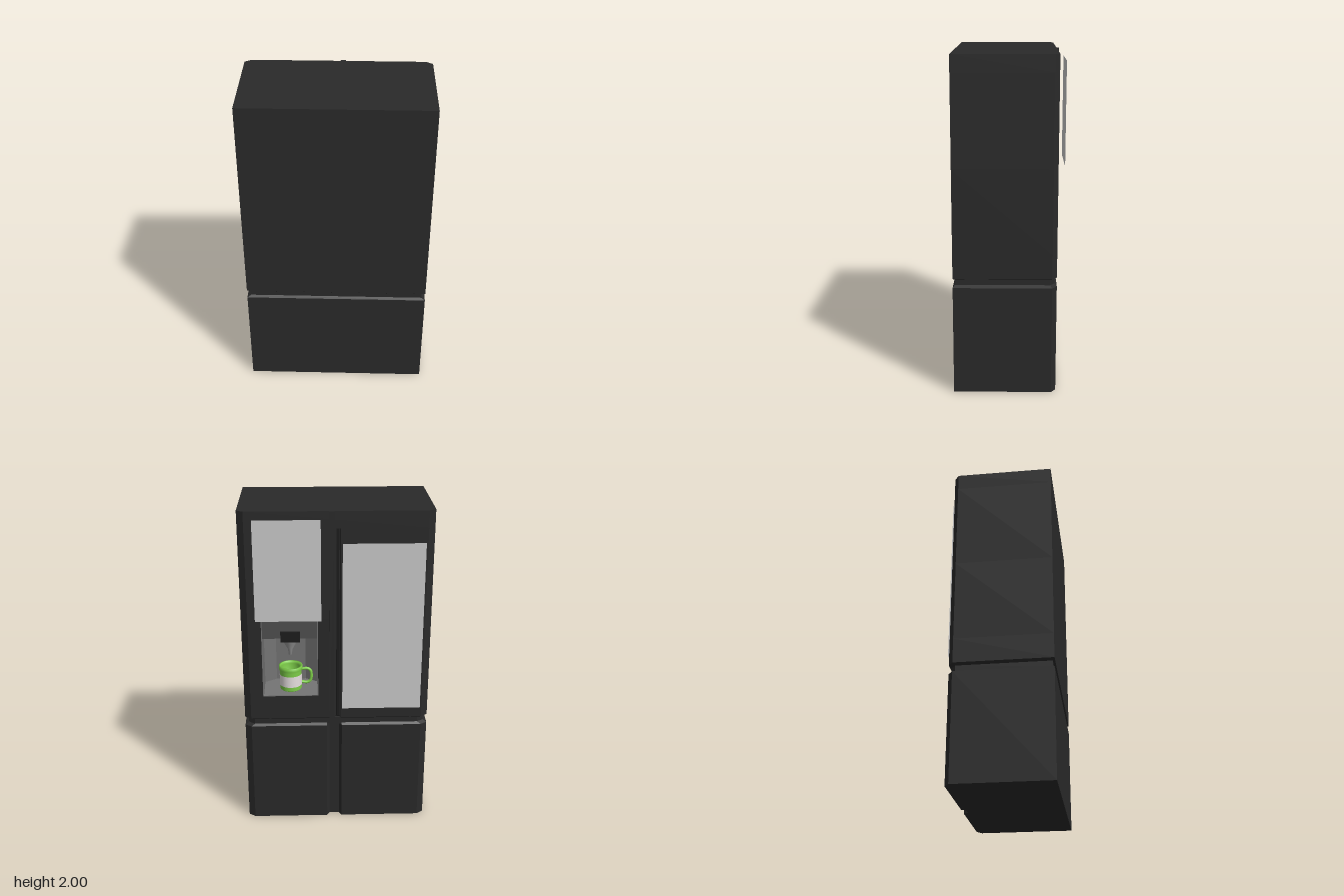
import * as THREE from 'three';

const mat = (color, side = THREE.FrontSide) => new THREE.MeshStandardMaterial({ color, side });
const black = mat(0x2a2a2a), darker = mat(0x1c1c1c), liner = mat(0x747474), control = mat(0x505050);
const metal = mat(0xaaaaaa), green = mat(0x7fd04a), label = mat(0xe6dfdf);
const screen = mat(0xcccccc, THREE.DoubleSide);

// Cabinet outline and front plane (x across, z towards the doors)
const W = 0.56, BACK = -0.29, CORNER = 0.29, FRONT = 0.318;
const NICHE = { l: -0.444, r: -0.108, mid: -0.276, bottom: 0.86, top: 1.36 };

const nicheOutline = (t) => [
  [NICHE.l + t, FRONT], [NICHE.l + t, 0.12 + t / 2], [-0.37 + t / 2, 0.07 + t],
  [-0.182 - t / 2, 0.07 + t], [NICHE.r - t, 0.12 + t / 2], [NICHE.r - t, FRONT],
];
const upperGroove = [[-0.01, FRONT], [-0.005, 0.295], [0.02, 0.295], [0.026, FRONT]];
const lowerGroove = [[-0.058, FRONT], [-0.042, 0.29], [0.018, 0.29], [0.034, FRONT]];

const footprint = (...notches) => [
  [-W, BACK], [-W, CORNER], [-0.521, FRONT], ...notches.flat(),
  [0.521, FRONT], [W, CORNER], [W, BACK],
];

function add(group, name, geometry, material, x = 0, y = 0, z = 0) {
  const mesh = new THREE.Mesh(geometry, material);
  mesh.name = name;
  mesh.position.set(x, y, z);
  group.add(mesh);
  return mesh;
}

// Upright slab over an outline; its lower and upper ends can be drawn in
function slab(points, y0, y1, s0 = 1, s1 = 1) {
  const shape = new THREE.Shape(points.map(([x, z]) => new THREE.Vector2(x, -z)));
  const g = new THREE.ExtrudeGeometry(shape, { depth: y1 - y0, bevelEnabled: false });
  g.rotateX(-Math.PI / 2);
  const p = g.attributes.position;
  for (let i = 0; i < p.count; i++) {
    const top = p.getY(i) > (y1 - y0) / 2;
    const s = top ? s1 : s0;
    p.setXYZ(i, p.getX(i) * s, top ? y1 : y0, p.getZ(i) * s);
  }
  g.computeVertexNormals();
  return g;
}

function box(group, name, material, x0, x1, y0, y1, z0, z1) {
  return add(group, name, new THREE.BoxGeometry(x1 - x0, y1 - y0, z1 - z0), material,
    (x0 + x1) / 2, (y0 + y1) / 2, (z0 + z1) / 2);
}

function buildCabinet() {
  const g = new THREE.Group();
  g.name = 'cabinet';
  const inset = 0.96;
  const low = footprint(lowerGroove), high = footprint(upperGroove);
  add(g, 'lowerDrawers', slab(low, 0, 0.655), black);
  add(g, 'lowerBevel', slab(low, 0.655, 0.668, 1, inset), black);
  add(g, 'waistGroove', slab(footprint(), 0.66, 0.705, inset, inset), black);
  add(g, 'upperBevel', slab(high, 0.7, 0.71, inset, 1), black);
  add(g, 'upperDoorsBase', slab(high, 0.71, NICHE.bottom), black);
  add(g, 'upperDoorsNiche', slab(footprint(nicheOutline(0), upperGroove), NICHE.bottom, NICHE.top), black);
  add(g, 'upperDoorsHead', slab(high, NICHE.top, 1.9), black);
  add(g, 'cabinetTop', slab(footprint(), 1.9, 2), black);
  // Strip between the doors and the pull beside it
  box(g, 'doorStrip', black, -0.042, -0.012, 0.7, 2, 0.28, 0.332);
  box(g, 'doorPull', darker, 0, 0.016, 0.72, 1.9, 0.28, 0.312);
  return g;
}

function buildDispenser() {
  const g = new THREE.Group();
  g.name = 'dispenser';
  // Niche walls as a thin shell, then its floor
  const shell = [...nicheOutline(0.001), ...nicheOutline(0.006).reverse()];
  add(g, 'nicheWalls', slab(shell, NICHE.bottom, NICHE.top), liner);
  add(g, 'nicheFloor', slab(nicheOutline(0.004), NICHE.bottom, NICHE.bottom + 0.004), liner);
  box(g, 'controlPanel', control, NICHE.l + 0.002, NICHE.r - 0.002, 1.235, NICHE.top, 0.14, 0.312);
  box(g, 'spoutHousing', darker, -0.33, -0.215, 1.215, 1.28, 0.2, 0.325);
  // Nozzle
  const profile = [[0, 0.155], [0.045, 0.155], [0.045, 0.1], [0.036, 0.09], [0.036, 0.075],
    [0.014, 0.035], [0.01, 0], [0, 0]].reverse().map(([r, y]) => new THREE.Vector2(r, y));
  const nozzle = add(g, 'nozzle', new THREE.LatheGeometry(profile, 24), metal, NICHE.mid, 1.09, 0.21);
  nozzle.material = mat(0x9a9a9a, THREE.DoubleSide);
  return g;
}

function buildMug() {
  const g = new THREE.Group();
  g.name = 'mug';
  const profile = [[0, 0], [0.06, 0], [0.066, 0.006], [0.066, 0.12], [0.072, 0.135], [0.072, 0.155],
    [0.062, 0.155], [0.058, 0.14], [0.058, 0.012], [0, 0.012]].map(([r, y]) => new THREE.Vector2(r, y));
  add(g, 'mugBody', new THREE.LatheGeometry(profile, 32), green);
  add(g, 'mugBand', new THREE.CylinderGeometry(0.068, 0.068, 0.07, 32, 1, true), label, 0, 0.066, 0);
  const path = new THREE.CatmullRomCurve3([[0.062, 0.128], [0.105, 0.13], [0.122, 0.115],
    [0.122, 0.055], [0.105, 0.04], [0.062, 0.042]].map(([x, y]) => new THREE.Vector3(x, y, 0)));
  add(g, 'mugHandle', new THREE.TubeGeometry(path, 28, 0.009, 10), green);
  g.position.set(NICHE.mid, NICHE.bottom + 0.004, 0.21);
  return g;
}

export function createModel() {
  const model = new THREE.Group();
  model.name = 'refrigerator';
  const body = new THREE.Group();
  body.name = 'refrigeratorBody';
  body.add(buildCabinet(), buildDispenser(), buildMug());
  // Thin display panels standing off the doors
  add(body, 'leftScreen', new THREE.PlaneGeometry(0.385, 0.6), screen, -0.281, 1.66, 0.357);
  add(body, 'rightScreen', new THREE.PlaneGeometry(0.475, 1.038), screen, 0.273, 1.295, 0.327);
  // The appliance stands turned away from the front
  body.rotation.y = -2.223;
  model.add(body);
  return model;
}
